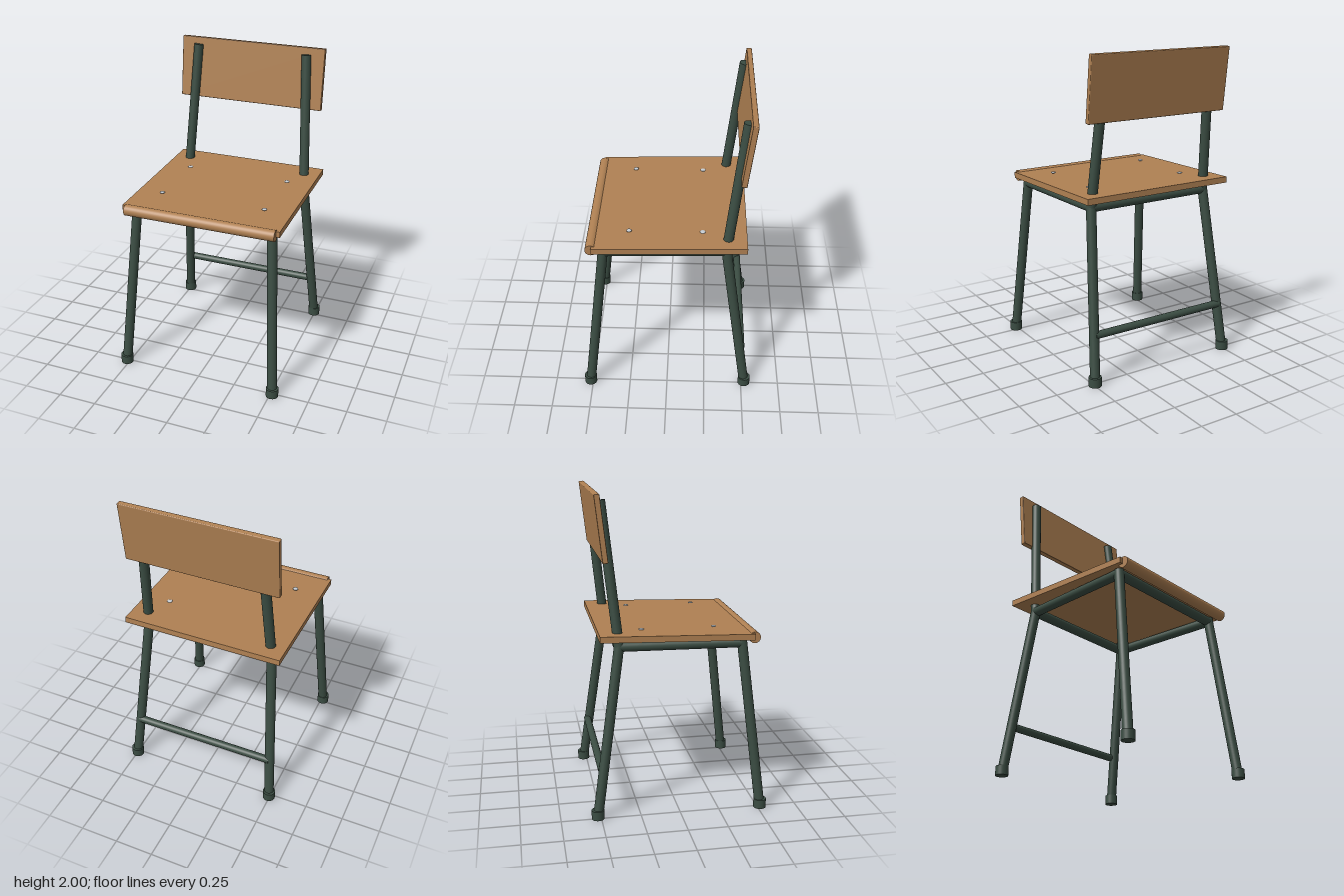
import * as THREE from 'three';
import { RoundedBoxGeometry } from 'three/addons/geometries/RoundedBoxGeometry.js';

const flat = (name, color) => {
  const m = new THREE.MeshStandardMaterial({ color });
  m.name = name;
  return m;
};

export function createModel() {
  const chair = new THREE.Group();
  chair.name = 'chair';
  const wood = flat('warmWood', 0xb08153);
  const steel = flat('greenSteel', 0x3b4d43);
  const zinc = flat('zinc', 0xc6ccd2);

  const add = (name, geometry, material, x, y, z) => {
    const mesh = new THREE.Mesh(geometry, material);
    mesh.name = name;
    mesh.position.set(x, y, z);
    chair.add(mesh);
    return mesh;
  };

  // Round bar between two points
  const bar = (name, a, b, r) => {
    const from = new THREE.Vector3(...a), to = new THREE.Vector3(...b);
    const dir = to.clone().sub(from);
    const mid = from.clone().add(to).multiplyScalar(0.5);
    const mesh = add(name, new THREE.CylinderGeometry(r, r, dir.length(), 32), steel, mid.x, mid.y, mid.z);
    mesh.quaternion.setFromUnitVectors(new THREE.Vector3(0, 1, 0), dir.normalize());
  };

  // Legs, feet, back posts and side rails, mirrored
  for (const [side, s] of [['left', 1], ['right', -1]]) {
    const frontJoint = [s * 0.45, 1.08, 0.393];
    const backJoint = [s * 0.42, 1.08, -0.365];
    bar(side + 'FrontLeg', [s * 0.515, 0.01, 0.515], [s * 0.449, 1.1, 0.391], 0.031);
    bar(side + 'BackLeg', [s * 0.495, 0.01, -0.52], [s * 0.419, 1.1, -0.362], 0.031);
    bar(side + 'BackPost', backJoint, [s * 0.373, 1.955, -0.459], 0.031);
    bar(side + 'SideRail', frontJoint, backJoint, 0.031);

    const foot = new THREE.CylinderGeometry(0.04, 0.04, 0.058, 32);
    add(side + 'FrontFoot', foot, steel, s * 0.515, 0.029, 0.515);
    add(side + 'BackFoot', foot, steel, s * 0.495, 0.029, -0.52);

    // Screw heads on the seat
    for (const [end, z] of [['Front', 0.237], ['Back', -0.217]]) {
      const screw = add(side + end + 'Screw', new THREE.SphereGeometry(0.017, 24, 12), zinc, s * 0.345, 1.164, z);
      screw.scale.y = 0.3;
    }
  }

  // Cross rails under the seat and the rear stretcher
  bar('frontRail', [-0.45, 1.08, 0.393], [0.45, 1.08, 0.393], 0.031);
  bar('backRail', [-0.42, 1.08, -0.365], [0.42, 1.08, -0.365], 0.031);
  bar('rearStretcher', [-0.475, 0.312, -0.488], [0.475, 0.312, -0.488], 0.024);

  // Tilted seat board with a rounded front edge
  const seat = add('seat', new THREE.BoxGeometry(1.034, 0.038, 0.948), wood, 0, 1.138, -0.015);
  seat.rotation.x = 0.027;
  const roll = add('seatFrontRoll', new THREE.CylinderGeometry(0.036, 0.036, 0.986, 32), wood, 0, 1.117, 0.463);
  roll.rotation.z = Math.PI / 2;

  // Leaning backrest board
  const back = add('backrest', new RoundedBoxGeometry(0.986, 0.402, 0.034, 2, 0.005), wood, 0, 1.798, -0.467);
  back.rotation.x = -0.113;

  return chair;
}
